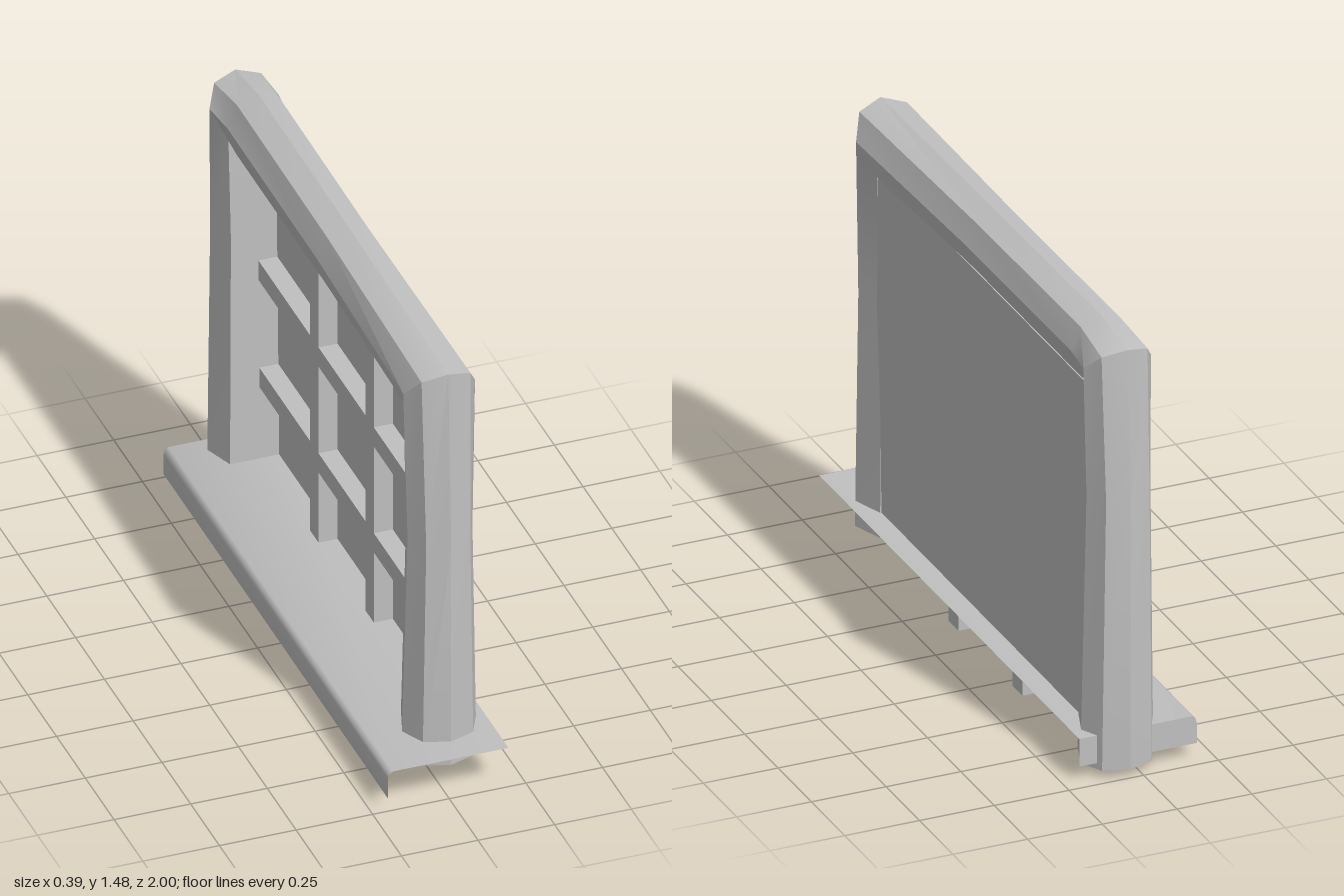
import * as THREE from 'three';
import { toCreasedNormals } from 'three/addons/utils/BufferGeometryUtils.js';

const grey = new THREE.MeshStandardMaterial({ color: 0xc0c0c0, side: THREE.DoubleSide });
grey.name = 'plain grey';

// Joins equal-sized rings of points into a skin; closed wraps each ring around.
function loft(rings, closed, crease) {
  const n = rings[0].length;
  const index = [];
  for (let i = 0; i < rings.length - 1; i++) {
    for (let j = 0; j < (closed ? n : n - 1); j++) {
      const a = i * n + j, b = i * n + (j + 1) % n;
      index.push(a, b, b + n, a, b + n, a + n);
    }
  }
  const g = new THREE.BufferGeometry();
  g.setAttribute('position', new THREE.Float32BufferAttribute(rings.flat(2), 3));
  g.setIndex(index);
  return toCreasedNormals(g, crease);
}

export function createModel() {
  const model = new THREE.Group();
  model.name = 'framedPanel';
  const add = (name, geometry) => {
    const mesh = new THREE.Mesh(geometry, grey);
    mesh.name = name;
    model.add(mesh);
  };
  const box = (name, x0, x1, y0, y1, z0, z1) => add(name,
    new THREE.BoxGeometry(x1 - x0, y1 - y0, z1 - z0)
      .translate((x0 + x1) / 2, (y0 + y1) / 2, (z0 + z1) / 2));

  // Frame: posts and top beam swept as one tube, open at the feet.
  // Each station: outer z, outer y, inner z, inner y, half width
  const stations = [
    [0.905, 0.06, 0.69, 0.06, 0.122],
    [0.905, 0.85, 0.71, 0.85, 0.106],
    [0.88, 1.465, 0.72, 1.28, 0.117],
    [0.0, 1.477, 0.0, 1.28, 0.1],
    [-0.77, 1.485, -0.77, 1.28, 0.1],
    [-0.97, 1.455, -0.82, 1.31, 0.113],
    [-1.0, 0.95, -0.81, 0.95, 0.107],
    [-0.995, 0.03, -0.79, 0.03, 0.122],
  ];
  // Section points: sideways fraction, fraction from outer to inner
  const section = [[0, 0], [0.68, 0.13], [1, 0.5], [0.7, 1], [-0.7, 1], [-1, 0.5], [-0.68, 0.13]];
  add('frame', loft(stations.map(([oz, oy, iz, iy, w]) =>
    section.map(([s, t]) => [0.042 + s * w, oy + (iy - oy) * t, oz + (iz - oz) * t])), true, 0.6));

  // Sheet filling the frame
  box('panel', 0.118, 0.122, 0.112, 1.3, -0.83, 0.73);

  // Lattice behind the panel; the uprights run down into the feet
  for (const z of [0.158, -0.322]) box('uprightBar', 0.056, 0.119, 0.004, 1.3, z - 0.037, z + 0.037);
  for (const y of [0.435, 0.82]) box('crossBar', 0.056, 0.119, y - 0.035, y + 0.035, -0.84, 0.69);

  // Base: folded sheet with a rounded lip on one side, open below and at the front
  const lip = [[-0.2, 0.05], [-0.2, 0.122], [-0.196, 0.135], [-0.185, 0.145], [0.193, 0.145]];
  add('baseSheet', loft([1, -0.95].map(z => lip.map(([x, y]) => [x, y, z])), false, 0.9));

  // Plate closing the back end of the base
  const end = new THREE.Shape([...lip, [0.193, 0.05]].map(([x, y]) => new THREE.Vector2(x, y)));
  add('baseEndPlate', new THREE.ShapeGeometry(end).translate(0, 0, -0.95));

  return model;
}
